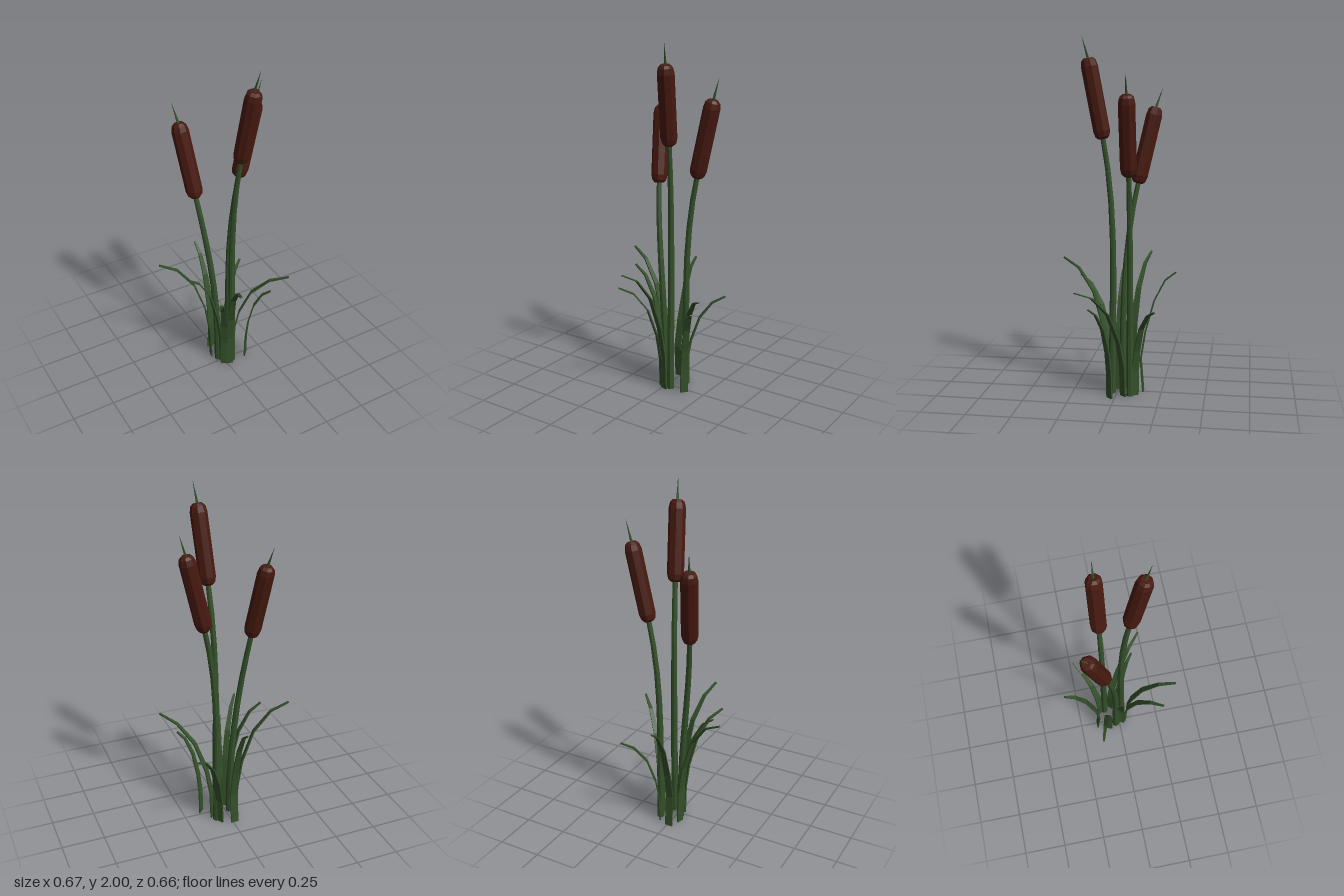
import * as THREE from 'three';

const V = (x, y, z) => new THREE.Vector3(x, y, z);
const material = (color) => new THREE.MeshStandardMaterial({ color, flatShading: true, roughness: 1 });

// Closed skin through rings of points, each ring counter-clockwise about the path
function loft(rings) {
  const n = rings[0].length, pos = [], index = [];
  rings.forEach((ring) => ring.forEach((p) => pos.push(p.x, p.y, p.z)));
  for (let r = 0; r < rings.length - 1; r++) {
    for (let i = 0; i < n; i++) {
      const a = r * n + i, b = r * n + (i + 1) % n;
      index.push(a, b, b + n, a, b + n, a + n);
    }
  }
  const last = (rings.length - 1) * n;
  for (let i = 1; i < n - 1; i++) {
    index.push(0, i + 1, i, last, last + i, last + i + 1);
  }
  const g = new THREE.BufferGeometry();
  g.setAttribute('position', new THREE.Float32BufferAttribute(pos, 3));
  g.setIndex(index);
  const flat = g.toNonIndexed();
  flat.computeVertexNormals();
  return flat;
}

// Tapered eight-sided stem that leaves the ground upright and ends along dir
function stemGeometry(base, top, dir) {
  const h = top.y;
  const curve = new THREE.CubicBezierCurve3(base, V(base.x, h * 0.45, base.z),
    top.clone().addScaledVector(dir, -0.3 * h), top.clone().addScaledVector(dir, 0.03));
  const rings = [];
  for (let k = 0; k <= 7; k++) {
    const t = k / 7, c = curve.getPoint(t), d = curve.getTangent(t);
    const u = V(1, 0, 0).cross(d).normalize(), v = d.clone().cross(u);
    const r = 0.021 - 0.007 * t;
    rings.push(Array.from({ length: 8 }, (_, i) => {
      const a = (i + 0.5) * Math.PI / 4;
      return c.clone().addScaledVector(u, r * Math.cos(a)).addScaledVector(v, r * Math.sin(a));
    }));
  }
  return loft(rings);
}

// Thin blade arching from base to tip; lean shifts its lower part
function leafGeometry(base, tip, lean) {
  const out = V(tip.x - base.x, 0, tip.z - base.z).normalize();
  const side = V(0, 1, 0).cross(out);
  const reach = [0, lean, 0.1 + lean * 0.5, 0.33, 0.66, 1];
  const rise = [0, 0.27, 0.5, 0.76, 0.93, 1];
  const width = [0.046, 0.044, 0.039, 0.031, 0.021, 0.011];
  const pts = reach.map((f, i) => V(
    base.x + (tip.x - base.x) * f, tip.y * rise[i], base.z + (tip.z - base.z) * f));
  const rings = pts.map((p, i) => {
    const d = i === 0 ? V(0, 1, 0)
      : pts[Math.min(i + 1, 5)].clone().sub(pts[i - 1]).normalize();
    const n = d.cross(side).normalize();
    const w = width[i] / 2, t = 0.004;
    return [[1, 1], [-1, 1], [-1, -1], [1, -1]].map(([a, b]) =>
      p.clone().addScaledVector(side, a * w).addScaledVector(n, b * t));
  });
  return loft(rings);
}

export function createModel() {
  const model = new THREE.Group();
  const green = material(0x34502a), brown = material(0x481a10);
  const add = (parent, name, geometry, mat) => {
    const mesh = new THREE.Mesh(geometry, mat);
    mesh.name = name;
    parent.add(mesh);
    return mesh;
  };

  // Reeds: stem base, bottom and top of the seed head, spike tip
  const reeds = [
    ['tallReed', V(0.043, 0, 0.026), V(0.062, 1.445, 0.072), V(0.09, 1.88, 0.15), V(0.104, 2, 0.182)],
    ['leftReed', V(-0.025, 0, -0.025), V(-0.12, 1.185, -0.098), V(-0.165, 1.612, -0.193), V(-0.184, 1.725, -0.232)],
    ['rightReed', V(0.08, 0, -0.08), V(0.143, 1.25, -0.08), V(0.243, 1.685, -0.08), V(0.277, 1.805, -0.08)],
  ];
  for (const [name, base, bottom, top, tip] of reeds) {
    const reed = new THREE.Group();
    reed.name = name;
    model.add(reed);
    const dir = top.clone().sub(bottom);
    const len = dir.length();
    dir.normalize();
    add(reed, 'stem', stemGeometry(base, bottom, dir), green);

    // Seed head with bevelled ends
    const profile = [[0, 0], [0.026, 0], [0.04, 0.014], [0.047, 0.045],
      [0.047, len - 0.045], [0.04, len - 0.014], [0.026, len], [0, len]]
      .map(([r, y]) => new THREE.Vector2(r, y));
    const head = add(reed, 'seedHead', new THREE.LatheGeometry(profile, 8, Math.PI / 8), brown);
    head.position.copy(bottom);
    head.quaternion.setFromUnitVectors(V(0, 1, 0), dir);

    // Thin spike on top
    const axis = tip.clone().sub(top), spikeLen = axis.length() + 0.01;
    const spike = add(reed, 'spike', new THREE.ConeGeometry(0.008, spikeLen, 6), green);
    axis.normalize();
    spike.position.copy(tip).addScaledVector(axis, -spikeLen / 2);
    spike.quaternion.setFromUnitVectors(V(0, 1, 0), axis);
  }

  // Leaves: base x, base z, tip x, tip height, tip z, lean of the lower part
  const leaves = [
    [-0.01, -0.145, -0.011, 0.7, -0.328, -0.08],
    [0.07, -0.107, 0.25, 0.53, -0.234, 0.02],
    [-0.048, -0.074, -0.334, 0.755, -0.155, 0.02],
    [-0.022, 0, -0.225, 0.7, -0.011, 0.02],
    [-0.015, 0.035, -0.163, 0.64, 0.24, 0.02],
    [0.012, 0.05, -0.075, 0.755, 0.325, 0.02],
    [0.092, -0.042, 0.33, 0.64, 0.185, 0.02],
    [0.138, 0.028, 0.245, 0.53, 0.128, 0.02],
  ];
  for (const [bx, bz, tx, ty, tz, lean] of leaves) {
    add(model, 'leaf', leafGeometry(V(bx, 0, bz), V(tx, ty, tz), lean), green);
  }
  return model;
}
